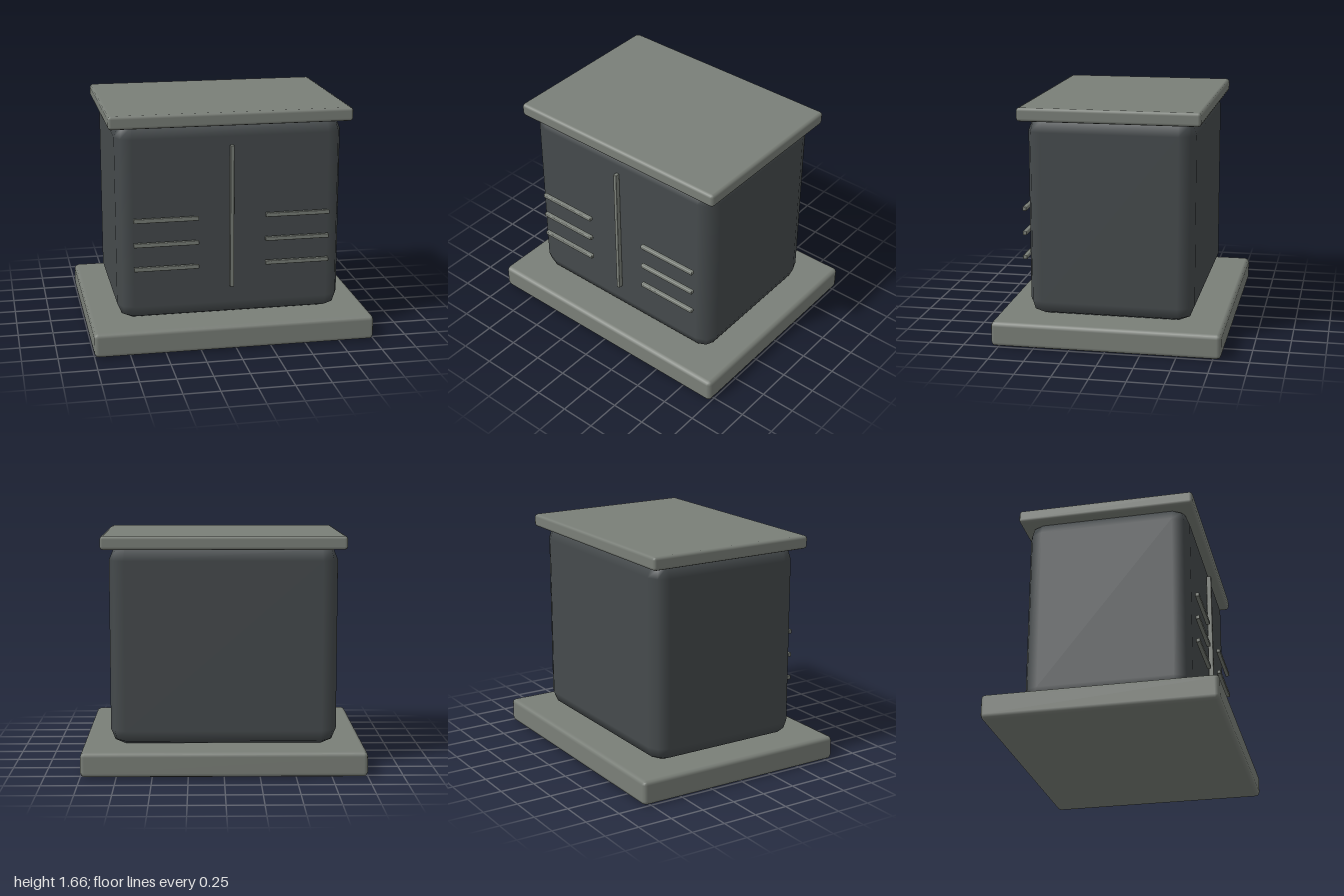
import * as THREE from 'three';
import { RoundedBoxGeometry } from 'three/addons/geometries/RoundedBoxGeometry.js';

export function createModel() {
  const model = new THREE.Group();
  model.name = 'utilityCabinet';

  const stone = new THREE.MeshStandardMaterial({ color: 0x7a7f78 });
  stone.name = 'stone grey';
  const charcoal = new THREE.MeshStandardMaterial({ color: 0x454a4c });
  charcoal.name = 'charcoal';

  // Rounded block given by its size, bottom height and edge radius
  function block(name, w, h, d, bottom, radius, material, x = 0, z = 0) {
    const mesh = new THREE.Mesh(new RoundedBoxGeometry(w, h, d, 1, radius), material);
    mesh.name = name;
    mesh.position.set(x, bottom + h / 2, z);
    model.add(mesh);
  }

  // Plinth, cabinet body and overhanging lid
  block('plinth', 2, 0.175, 1.61, 0, 0.03, stone);
  block('body', 1.606, 1.425, 1.17, 0.17, 0.11, charcoal);
  block('lid', 1.714, 0.095, 1.268, 1.565, 0.022, stone);

  // Door seam down the middle of the front
  block('doorSeam', 0.028, 1.025, 0.036, 0.4, 0.005, stone, 0, 0.606);

  // Three vent slats on each door
  for (const [side, x] of [['left', 0.467], ['right', -0.467]]) {
    [0.57, 0.745, 0.92].forEach((y, i) => {
      block(`${side}VentSlat${i + 1}`, 0.46, 0.03, 0.03, y - 0.015, 0.006, stone, x, 0.626);
    });
  }

  return model;
}
